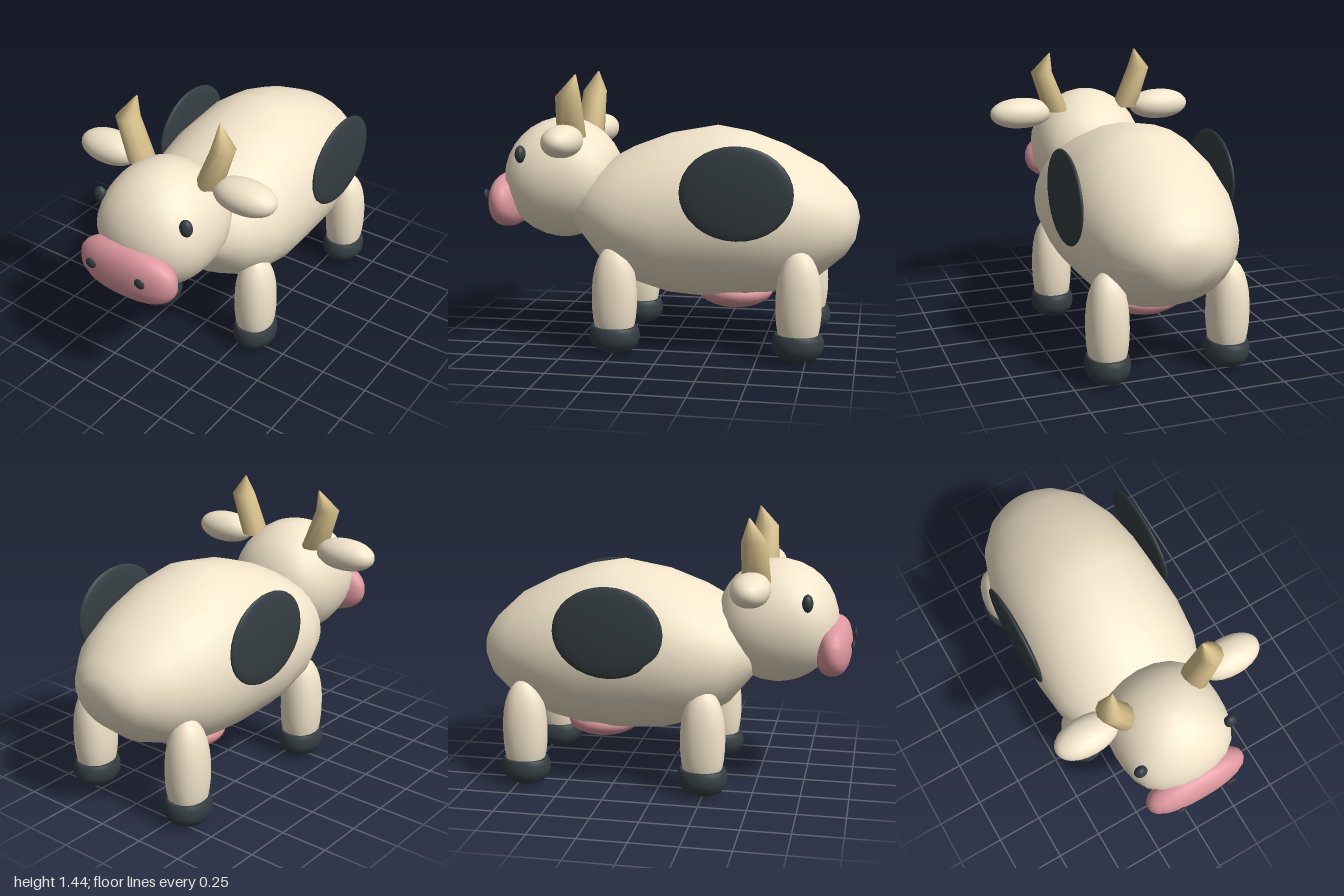
import * as THREE from 'three';
import { mergeVertices } from 'three/addons/utils/BufferGeometryUtils.js';

const paint = (color) => new THREE.MeshStandardMaterial({ color, roughness: 0.9 });

// Weld seams and poles, then smooth the normals
function smooth(geo) {
  geo.deleteAttribute('uv');
  geo.deleteAttribute('normal');
  const g = mergeVertices(geo, 1e-5);
  g.computeVertexNormals();
  return g;
}

// Rounded blob: n = 2 is an ellipsoid, larger n is boxier
function blob(rx, ry, rz, n = 2, segs = 24) {
  const geo = new THREE.SphereGeometry(1, segs, Math.round(segs * 0.67));
  const p = geo.attributes.position;
  for (let i = 0; i < p.count; i++) {
    const v = new THREE.Vector3().fromBufferAttribute(p, i);
    const k = Math.pow(Math.abs(v.x) ** n + Math.abs(v.y) ** n + Math.abs(v.z) ** n, -1 / n);
    p.setXYZ(i, v.x * k * rx, v.y * k * ry, v.z * k * rz);
  }
  return smooth(geo);
}

// Skin over a series of rings that each hold the same number of points
function loft(rings) {
  const n = rings[0].length;
  const index = [];
  for (let i = 0; i < rings.length - 1; i++) {
    for (let j = 0; j < n; j++) {
      const k = (j + 1) % n;
      const a = i * n + j, b = i * n + k, c = a + n, d = b + n;
      index.push(a, b, d, a, d, c);
    }
  }
  const geo = new THREE.BufferGeometry().setFromPoints(rings.flat());
  geo.setIndex(index);
  return smooth(geo);
}

const ring = (n, fn) => Array.from({ length: n }, (_, j) => fn((j / n) * Math.PI * 2));

export function createModel() {
  const cow = new THREE.Group();
  cow.name = 'cow';
  const cream = paint(0xf3e5cb), pink = paint(0xdf98a0), dark = paint(0x353e43), tan = paint(0xdcc48e);

  const add = (name, geo, mat, x = 0, y = 0, z = 0) => {
    const m = new THREE.Mesh(geo, mat);
    m.name = name;
    m.position.set(x, y, z);
    cow.add(m);
    return m;
  };

  // Body sections from rump to chest: z, half width, bottom, top
  const sections = [
    [-1, 0, 0.71, 0.71], [-0.98, 0.13, 0.59, 0.79], [-0.93, 0.22, 0.51, 0.86],
    [-0.8, 0.33, 0.4, 0.98], [-0.6, 0.4, 0.315, 1.085], [-0.42, 0.425, 0.275, 1.15],
    [-0.25, 0.43, 0.26, 1.18], [0, 0.44, 0.28, 1.135], [0.2, 0.42, 0.34, 1.06],
    [0.35, 0.36, 0.44, 0.98], [0.48, 0.24, 0.6, 0.86], [0.53, 0, 0.72, 0.72],
  ];
  add('body', loft(sections.map(([z, w, lo, hi]) => ring(28, (a) =>
    new THREE.Vector3(w * Math.cos(a), (lo + hi) / 2 + ((hi - lo) / 2) * Math.sin(a), z)))), cream);

  // Head, a little fuller towards the face and the neck
  const headGeo = blob(0.305, 0.325, 0.32);
  const hp = headGeo.attributes.position;
  for (let i = 0; i < hp.count; i++) hp.setX(i, hp.getX(i) * (1 + 0.3 * (hp.getZ(i) / 0.32) ** 2));
  headGeo.computeVertexNormals();
  add('head', headGeo, cream, 0, 0.885, 0.59);
  add('snout', blob(0.283, 0.147, 0.095, 2.4), pink, 0, 0.763, 0.885);
  add('udder', blob(0.21, 0.09, 0.2), pink, 0, 0.3, -0.35);

  // Hoof profile, turned and stretched lengthwise
  const hoofGeo = new THREE.LatheGeometry([
    [0, 0.005], [0.045, 0.01], [0.085, 0.03], [0.108, 0.06], [0.115, 0.09],
    [0.112, 0.125], [0.104, 0.148], [0.1, 0.151], [0, 0.151],
  ].map(([r, y]) => new THREE.Vector2(r, y)), 24);
  hoofGeo.scale(1, 1, 1.16);
  const legGeo = blob(0.105, 0.275, 0.117, 2.25);
  const spotGeo = blob(0.03, 0.238, 0.287);
  const earGeo = blob(0.172, 0.083, 0.1, 2.1);
  const eyeGeo = blob(0.035, 0.046, 0.028, 2, 16);
  const nostrilGeo = blob(0.031, 0.027, 0.01, 2, 16);

  // Paired parts
  for (const s of [1, -1]) {
    const side = s > 0 ? 'left' : 'right';
    for (const [end, z] of [['Front', 0.245], ['Back', -0.71]]) {
      add(`${side}${end}Leg`, legGeo, cream, s * 0.318, 0.297, z);
      add(`${side}${end}Hoof`, hoofGeo, dark, s * 0.318, 0, z);
    }
    add(`${side}Spot`, spotGeo, dark, s * 0.43, 0.873, s > 0 ? -0.4 : -0.23);
    add(`${side}Ear`, earGeo, cream, s * 0.408, 1.117, 0.49);
    add(`${side}Eye`, eyeGeo, dark, s * 0.258, 1.03, 0.76);
    add(`${side}Nostril`, nostrilGeo, dark, s * 0.147, 0.8, 0.99);

    // Horn leaning outwards, then bent back in: x, y, z, radius
    const horn = [[0.205, 1.11, 0.495, 0], [0.205, 1.12, 0.495, 0.07],
      [0.285, 1.337, 0.49, 0.06], [0.247, 1.447, 0.46, 0.004], [0.247, 1.448, 0.46, 0]];
    add(`${side}Horn`, loft(horn.map(([x, y, z, r]) => ring(10, (a) =>
      new THREE.Vector3(s * x + r * Math.cos(a), y, z - r * 1.1 * Math.sin(a))))), tan);
  }
  return cow;
}
